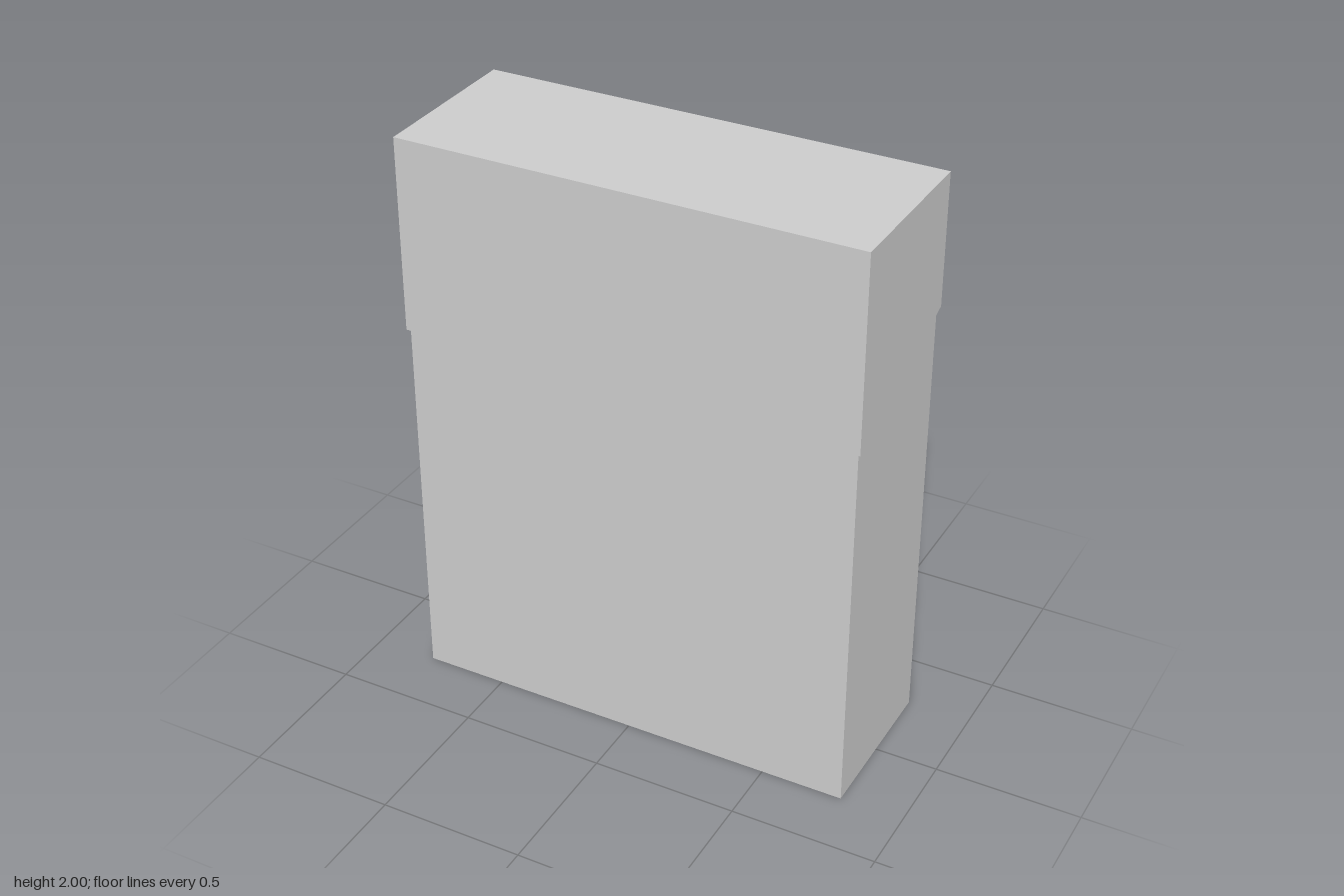
import * as THREE from 'three';

const material = new THREE.MeshStandardMaterial({ color: 0xcccccc, flatShading: true });

// Height of the slanted seam between body and lid at depth z
const seam = (z) => 1.435 - 0.375 * z;

// Extrudes a side profile of [z, y] points along x, centred on x = 0
function sidePrism(name, points, width) {
  const shape = new THREE.Shape(points.map(([z, y]) => new THREE.Vector2(z, y)));
  const geometry = new THREE.ExtrudeGeometry(shape, { depth: width, bevelEnabled: false });
  geometry.rotateY(-Math.PI / 2).translate(width / 2, 0, 0);
  const mesh = new THREE.Mesh(geometry, material);
  mesh.name = name;
  return mesh;
}

export function createModel() {
  const group = new THREE.Group();
  group.name = 'flipTopBox';

  // Body, its slanted top tucked just inside the lid
  const b = 0.28, tuck = 0.01;
  group.add(sidePrism('body', [[-b, 0], [b, 0], [b, seam(b) + tuck], [-b, seam(-b) + tuck]], 1.566));

  // Slightly larger lid, deeper at the front than at the back
  const l = 0.29;
  group.add(sidePrism('lid', [[-l, seam(-l)], [l, seam(l)], [l, 2], [-l, 2]], 1.586));

  return group;
}
